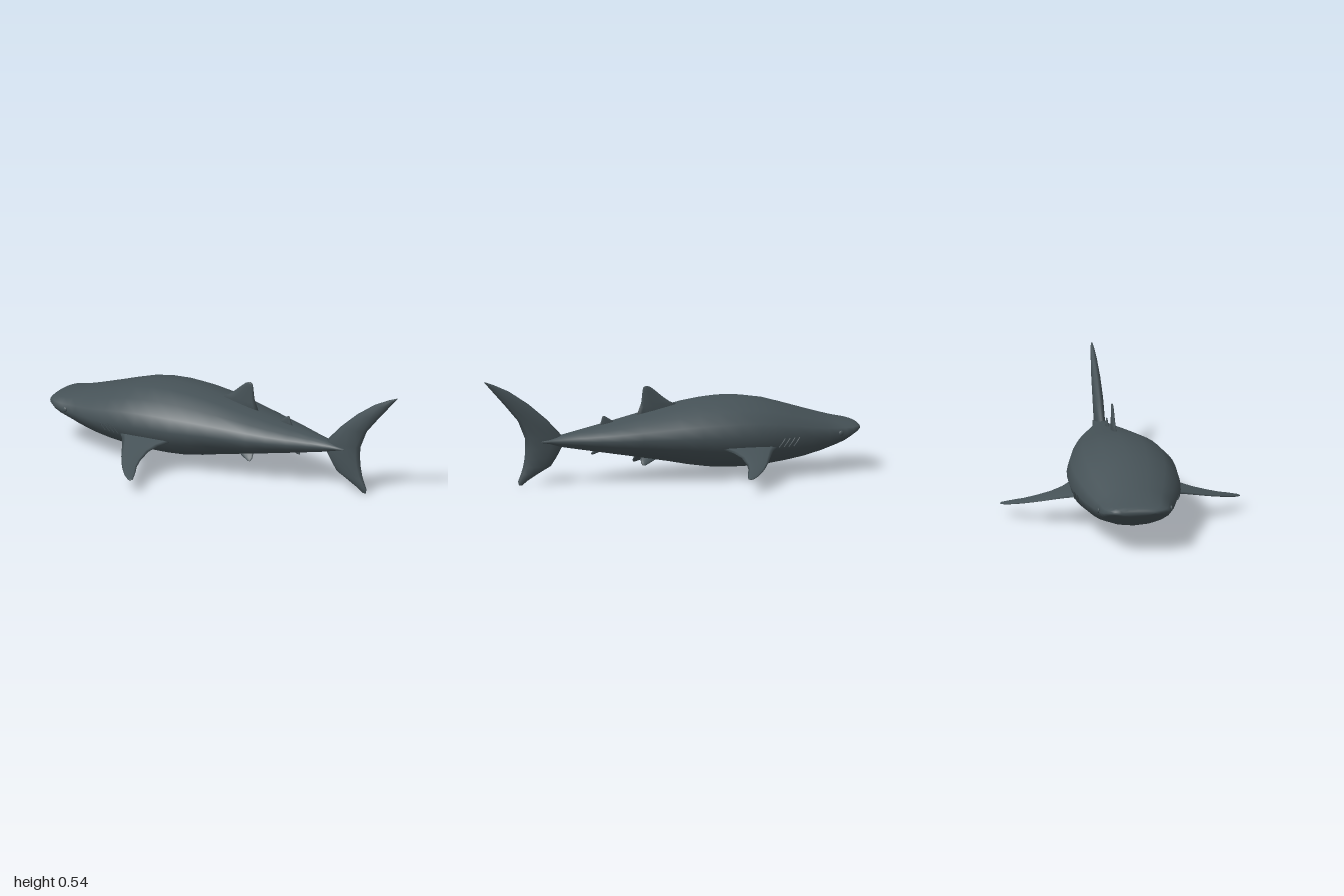
import * as THREE from 'three';

const skin = new THREE.MeshStandardMaterial({ color: 0x465257 });
skin.name = 'slate skin';

// Skin a list of equal-sized point rings into a closed, outward-facing solid.
function loft(rings) {
  const n = rings[0].length, pts = rings.flat(), idx = [];
  for (let r = 0; r < rings.length - 1; r++) {
    for (let i = 0; i < n; i++) {
      const a = r * n + i, b = r * n + (i + 1) % n;
      idx.push(a, b, a + n, b, b + n, a + n);
    }
  }
  const last = (rings.length - 1) * n;
  for (let i = 1; i < n - 1; i++) idx.push(0, i + 1, i, last, last + i, last + i + 1);
  let volume = 0;
  for (let i = 0; i < idx.length; i += 3) {
    volume += pts[idx[i]].dot(pts[idx[i + 1]].clone().cross(pts[idx[i + 2]]));
  }
  if (volume < 0) idx.reverse();
  const g = new THREE.BufferGeometry().setFromPoints(pts);
  g.setIndex(idx);
  g.computeVertexNormals();
  return g;
}

// Body stations from snout to tail: x, top, bottom, half width.
const stations = [
  [-1, 0.234, 0.208, 0.09], [-0.99, 0.243, 0.198, 0.125], [-0.97, 0.25, 0.185, 0.153],
  [-0.94, 0.257, 0.163, 0.172], [-0.9, 0.267, 0.138, 0.182], [-0.85, 0.281, 0.116, 0.189],
  [-0.8, 0.295, 0.1, 0.204], [-0.7, 0.325, 0.076, 0.235], [-0.6, 0.356, 0.06, 0.26],
  [-0.5, 0.385, 0.047, 0.277], [-0.4, 0.401, 0.04, 0.283], [-0.3, 0.406, 0.04, 0.28],
  [-0.2, 0.4, 0.046, 0.27], [-0.1, 0.387, 0.062, 0.252], [0, 0.368, 0.083, 0.231],
  [0.2, 0.325, 0.12, 0.18], [0.3, 0.304, 0.138, 0.15], [0.4, 0.285, 0.156, 0.115],
  [0.5, 0.266, 0.174, 0.074], [0.58, 0.251, 0.189, 0.045], [0.65, 0.238, 0.207, 0.036],
  [0.69, 0.231, 0.216, 0.033], [0.71, 0.226, 0.221, 0.012],
];

function skinPoint([x, top, bottom, w], angle) {
  return new THREE.Vector3(x, (top + bottom) / 2 + Math.sin(angle) * (top - bottom) / 2, Math.cos(angle) * w);
}

// Point on the flank at a given length and height.
function flankPoint(x, y, side) {
  const i = stations.findIndex((s) => s[0] > x), a = stations[i - 1], b = stations[i];
  const t = (x - a[0]) / (b[0] - a[0]);
  const s = a.map((v, k) => v + (b[k] - v) * t);
  const p = skinPoint(s, Math.asin((y - (s[1] + s[2]) / 2) / ((s[1] - s[2]) / 2)));
  p.z *= side;
  return p;
}

// Fin from rows of [span, leading x, trailing x, half thickness]; place() sets it in space.
function fin(rows, place) {
  return loft(rows.map(([span, lead, trail, thick]) => Array.from({ length: 10 }, (_, i) => {
    const a = i / 10 * Math.PI * 2;
    return place((lead + trail) / 2 - Math.cos(a) * (trail - lead) / 2, span, Math.sin(a) * thick);
  })));
}
const upright = (x, s, t) => new THREE.Vector3(x, s, t);

export function createModel() {
  const group = new THREE.Group();
  const add = (name, geometry) => {
    const mesh = new THREE.Mesh(geometry, skin);
    mesh.name = name;
    group.add(mesh);
    return mesh;
  };

  add('body', loft(stations.map((s) =>
    Array.from({ length: 16 }, (_, i) => skinPoint(s, i / 16 * Math.PI * 2)))));

  add('tailFin', fin([
    [0.004, 0.792, 0.81, 0.004], [0.025, 0.765, 0.815, 0.01], [0.062, 0.7, 0.8, 0.017],
    [0.095, 0.637, 0.789, 0.021], [0.14, 0.606, 0.78, 0.024], [0.19, 0.577, 0.776, 0.026],
    [0.245, 0.575, 0.778, 0.027], [0.335, 0.66, 0.815, 0.026], [0.42, 0.76, 0.887, 0.022],
    [0.49, 0.864, 0.95, 0.015], [0.53, 0.95, 0.986, 0.009], [0.545, 0.992, 1, 0.004],
  ], upright));

  add('dorsalFin', fin([
    [0.31, -0.08, 0.18, 0.009], [0.37, -0.055, 0.157, 0.009], [0.39, -0.005, 0.149, 0.009],
    [0.42, 0.037, 0.145, 0.008], [0.45, 0.072, 0.142, 0.007], [0.468, 0.095, 0.138, 0.006],
    [0.476, 0.113, 0.128, 0.003],
  ], upright));

  add('rearDorsalFin', fin([
    [0.27, 0.28, 0.385, 0.006], [0.303, 0.297, 0.368, 0.006],
    [0.322, 0.325, 0.362, 0.005], [0.334, 0.345, 0.358, 0.003],
  ], upright));

  add('analFin', fin([
    [0.175, 0.34, 0.4, 0.006], [0.158, 0.36, 0.412, 0.006],
    [0.148, 0.385, 0.42, 0.004], [0.142, 0.405, 0.418, 0.002],
  ], upright));

  for (const side of [1, -1]) {
    const label = side > 0 ? 'front' : 'back';

    // Side fins sweep out and droop toward the tips.
    add(label + 'PectoralFin', fin([
      [0.2, -0.51, -0.18, 0.01], [0.26, -0.49, -0.205, 0.009], [0.3, -0.455, -0.24, 0.009],
      [0.36, -0.42, -0.262, 0.008], [0.44, -0.375, -0.26, 0.007], [0.5, -0.336, -0.247, 0.006],
      [0.54, -0.306, -0.228, 0.006], [0.58, -0.27, -0.214, 0.005], [0.603, -0.242, -0.207, 0.004],
      [0.612, -0.228, -0.214, 0.002],
    ], (x, s, t) => new THREE.Vector3(x, 0.167 - (s - 0.26) * 0.275 + t, side * (s + t * 0.27))));

    add(label + 'PelvicFin', fin([
      [0, 0.06, 0.165, 0.007], [0.025, 0.085, 0.17, 0.007],
      [0.045, 0.12, 0.172, 0.006], [0.06, 0.15, 0.167, 0.003],
    ], (x, s, t) => new THREE.Vector3(x, 0.126 - s * 0.75 + t * 0.66, side * (0.032 + s * 0.66 + t * 0.75))));

    const eye = add(label + 'Eye', new THREE.SphereGeometry(0.013, 14, 10));
    eye.position.copy(flankPoint(-0.865, 0.205, side));
    eye.scale.z = 0.5;

    // Slanted gill ridges following the flank.
    for (let i = 0; i < 4; i++) {
      const x = -0.615 + i * 0.028;
      const line = [0, 0.5, 1].map((t) => flankPoint(x + t * 0.03, 0.21 - t * 0.045, side));
      add(label + 'Gill' + (i + 1), new THREE.TubeGeometry(new THREE.CatmullRomCurve3(line), 6, 0.003, 5));
    }
  }
  return group;
}
